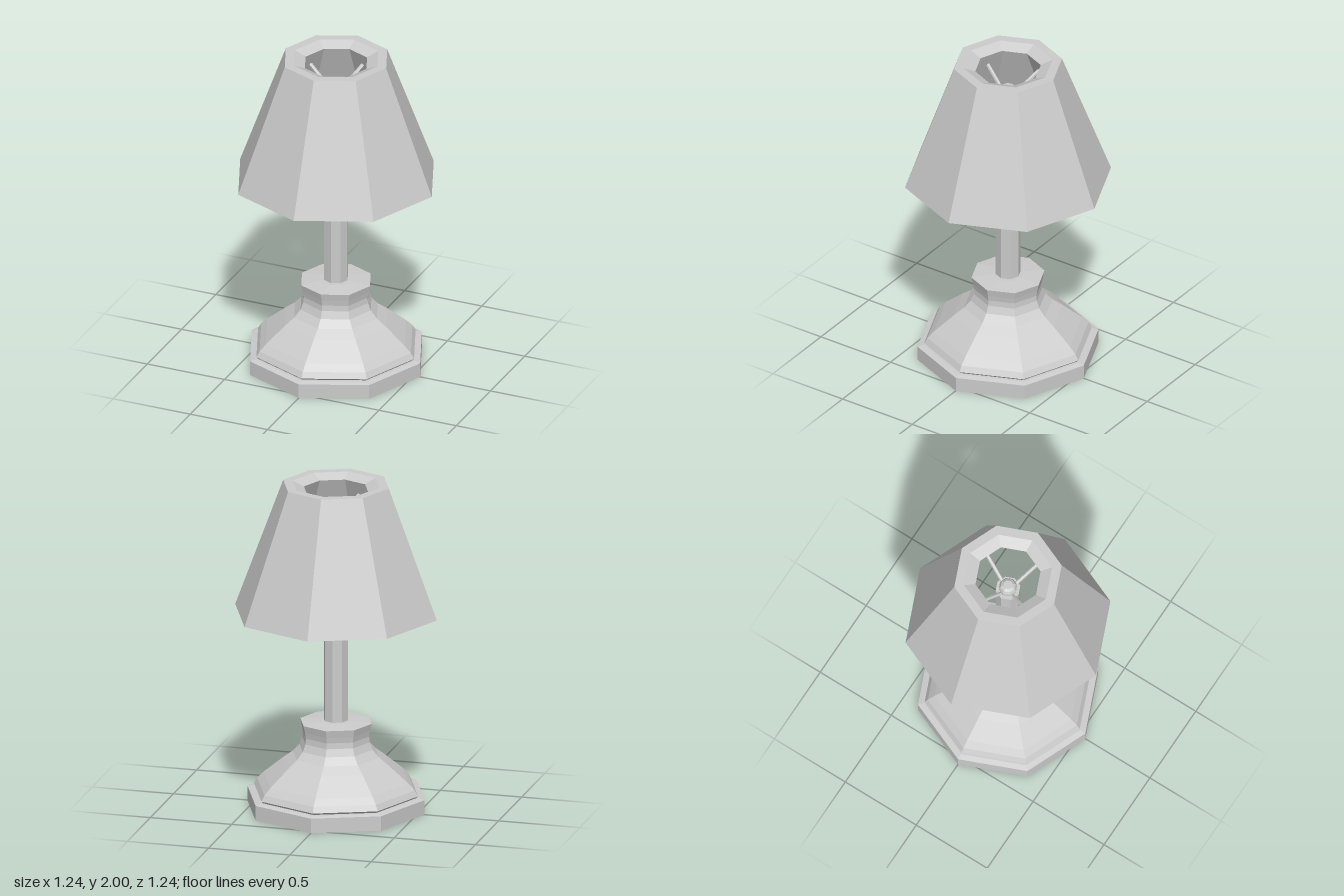
import * as THREE from 'three';

const material = new THREE.MeshStandardMaterial({ color: 0xcccccc, flatShading: true });

// Eight-sided turned part from [radius, height] pairs, listed from the bottom up
function turned(name, profile) {
  const points = profile.map(([r, y]) => new THREE.Vector2(r, y));
  const mesh = new THREE.Mesh(new THREE.LatheGeometry(points, 8), material);
  mesh.name = name;
  return mesh;
}

// Thin rod between two points
function rod(name, from, to, radius) {
  const dir = to.clone().sub(from);
  const mesh = new THREE.Mesh(new THREE.CylinderGeometry(radius, radius, dir.length(), 6), material);
  mesh.position.copy(from).add(to).multiplyScalar(0.5);
  mesh.quaternion.setFromUnitVectors(new THREE.Vector3(0, 1, 0), dir.normalize());
  mesh.name = name;
  return mesh;
}

// Point at a radius, height and angle around the lamp axis
const polar = (r, y, a) => new THREE.Vector3(r * Math.cos(a), y, r * Math.sin(a));

export function createModel() {
  const lamp = new THREE.Group();
  lamp.name = 'tableLamp';

  // Flat plinth and the flared foot standing on it
  lamp.add(turned('plinth', [[0, 0], [0.545, 0], [0.545, 0.09], [0.51, 0.098], [0, 0.098]]));
  lamp.add(turned('foot', [
    [0.49, 0.095], [0.505, 0.11], [0.485, 0.145], [0.445, 0.185], [0.385, 0.235],
    [0.325, 0.285], [0.265, 0.33], [0.225, 0.375], [0.207, 0.42], [0.204, 0.455],
    [0.21, 0.49], [0.22, 0.535], [0.1, 0.545], [0, 0.545],
  ]));

  // Pole with a small finial on its top
  lamp.add(turned('pole', [[0.075, 0.53], [0.075, 1.79], [0, 1.79]]));
  lamp.add(turned('finial', [
    [0.035, 1.785], [0.055, 1.8], [0.055, 1.82], [0.045, 1.84], [0.028, 1.85], [0, 1.85],
  ]));

  // Thick hollow shade with a bevelled inner top edge
  lamp.add(turned('shade', [
    [0.53, 1.2], [0.62, 1.208], [0.325, 2], [0.267, 2], [0.197, 1.97], [0.53, 1.2],
  ]));

  // Four spokes carrying the shade
  for (let i = 0; i < 4; i++) {
    const a = Math.PI / 8 + (i * Math.PI) / 2;
    lamp.add(rod('shadeSpoke', polar(0.05, 1.78, a), polar(0.225, 1.885, a), 0.012));
  }

  // Small switch lever on the pole
  const a = -Math.PI * 3 / 8;
  lamp.add(rod('switchLever', polar(0.06, 1.42, a), polar(0.125, 1.37, a), 0.012));

  return lamp;
}
